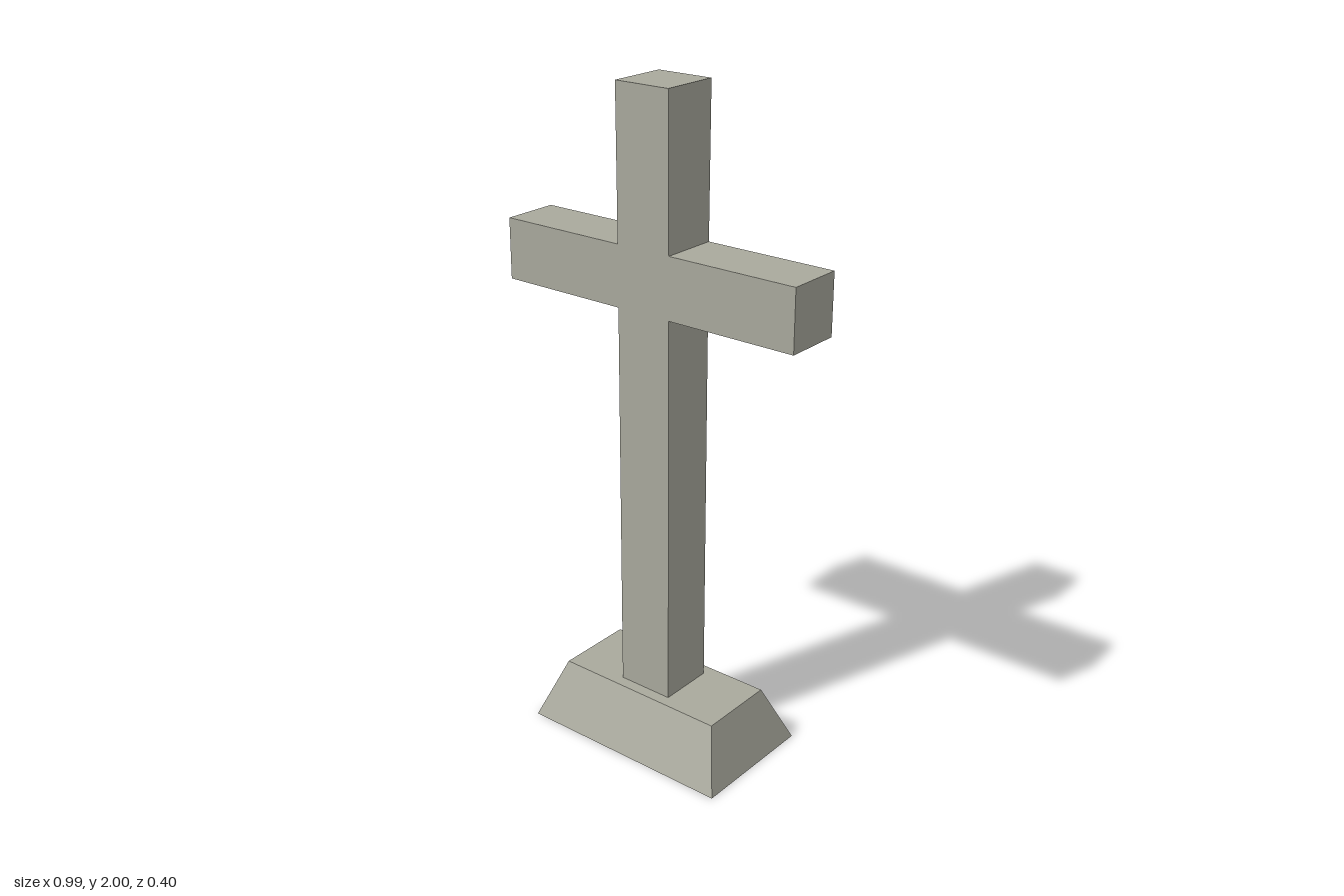
import * as THREE from 'three';

export function createModel() {
  const model = new THREE.Group();
  const stone = new THREE.MeshStandardMaterial({ color: 0xa9a99d });
  stone.name = 'weathered stone';

  // Upright and crossbar: one flush cross outline, extruded
  const post = 0.089, arm = 0.497, armLow = 1.375, armHigh = 1.557, depth = 0.174;
  const half = [[post, 0.18], [post, armLow], [arm, armLow], [arm, armHigh], [post, armHigh], [post, 2]];
  const outline = [...half, ...half.map(([x, y]) => [-x, y]).reverse()];
  const shape = new THREE.Shape(outline.map(([x, y]) => new THREE.Vector2(x, y)));
  const crossGeometry = new THREE.ExtrudeGeometry(shape, { depth, bevelEnabled: false });
  crossGeometry.translate(0, 0, -depth / 2);
  // The top of the upright is very slightly deeper than the crossbar
  const c = crossGeometry.attributes.position;
  for (let i = 0; i < c.count; i++) if (c.getY(i) > 1.9) c.setZ(i, Math.sign(c.getZ(i)) * 0.09);
  crossGeometry.computeVertexNormals();
  const cross = new THREE.Mesh(crossGeometry, stone);
  cross.name = 'cross';
  model.add(cross);

  // Plinth: a box whose upper corners are drawn inwards
  const baseGeometry = new THREE.BoxGeometry(0.69, 0.18, 0.404).toNonIndexed();
  baseGeometry.translate(0, 0.09, 0);
  const b = baseGeometry.attributes.position;
  for (let i = 0; i < b.count; i++) {
    if (b.getY(i) > 0.1) {
      b.setX(i, Math.sign(b.getX(i)) * 0.28);
      b.setZ(i, Math.sign(b.getZ(i)) * 0.123);
    }
  }
  baseGeometry.computeVertexNormals();
  const base = new THREE.Mesh(baseGeometry, stone);
  base.name = 'plinth';
  model.add(base);

  return model;
}
